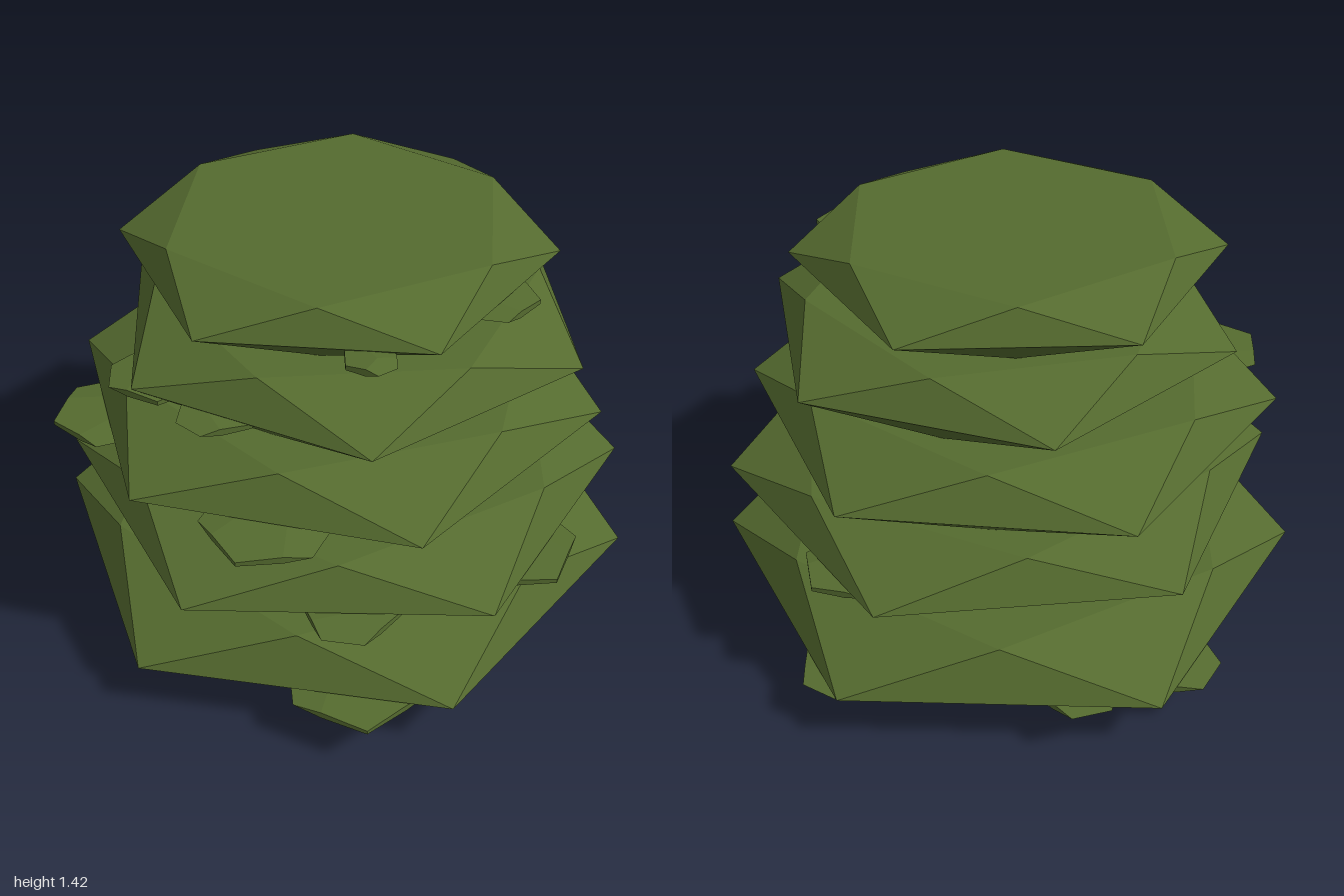
import * as THREE from 'three';

const SIDES = 6;

// y0, y1, y2: bottom, rim and top heights; rb, rm, rt: their radii; turn in degrees; x, z: offset
// tufts: [x, z, radius]
const TIERS = [
  { y: [0, 0.21, 0.37], r: [0.63, 0.995, 0.79], turn: 0, x: -0.02, z: 0,
    tufts: [[-0.77, -0.27, 0.19], [0.53, 0.57, 0.23], [0.07, -0.82, 0.17], [-0.58, -0.5, 0.18]] },
  { y: [0.37, 0.53, 0.66], r: [0.62, 0.93, 0.74], turn: 8, x: 0.015, z: 0.015,
    tufts: [[0.75, 0.05, 0.2], [0.5, 0.57, 0.18], [0.1, -0.74, 0.16]] },
  { y: [0.66, 0.81, 0.94], r: [0.59, 0.88, 0.69], turn: -4, x: -0.02, z: 0.02,
    tufts: [[-0.48, 0.63, 0.18], [0.28, 0.7, 0.2]] },
  { y: [0.94, 1.08, 1.2], r: [0.53, 0.78, 0.61], turn: -16, x: 0.02, z: 0,
    tufts: [[-0.21, 0.62, 0.16], [0.05, 0.63, 0.14]] },
  { y: [1.2, 1.32, 1.42], r: [0.46, 0.69, 0.55], turn: 4, x: -0.02, z: 0.01,
    tufts: [[0.53, -0.06, 0.14], [0.44, 0.42, 0.09]] },
];

// Ring of corners, counter-clockwise seen from above
function ring(t, level) {
  const shift = level === 1 ? 0 : 0.5;
  return Array.from({ length: SIDES }, (_, i) => {
    const a = THREE.MathUtils.degToRad(t.turn) + ((i + shift) / SIDES) * Math.PI * 2;
    return new THREE.Vector3(t.x + t.r[level] * Math.sin(a), t.y[level], t.z + t.r[level] * Math.cos(a));
  });
}

// Faceted slab: flat top and bottom, joined to a wider rim by zigzag triangles
function tierGeometry(t) {
  const [bot, rim, top] = [0, 1, 2].map((level) => ring(t, level));
  const pts = [];
  for (let i = 0; i < SIDES; i++) {
    const j = (i + 1) % SIDES;
    pts.push(rim[i], rim[j], top[i], rim[j], top[j], top[i]);
    pts.push(bot[i], rim[j], rim[i], bot[i], bot[j], rim[j]);
    if (i > 0 && i < SIDES - 1) {
      pts.push(top[1], top[(i + 1) % SIDES], top[(i + 2) % SIDES]);
      pts.push(bot[0], bot[j], bot[i]);
    }
  }
  const geo = new THREE.BufferGeometry().setFromPoints(pts);
  geo.computeVertexNormals();
  return geo;
}

export function createModel() {
  const bush = new THREE.Group();
  bush.name = 'tieredBush';
  const leaf = new THREE.MeshStandardMaterial({ color: 0x556b2f, flatShading: true });
  const tuftGeometry = new THREE.DodecahedronGeometry(1, 0);

  TIERS.forEach((t, n) => {
    const tier = new THREE.Mesh(tierGeometry(t), leaf);
    tier.name = `foliageTier${n + 1}`;
    bush.add(tier);

    // Thin leaf tufts tucked under the rim
    t.tufts.forEach(([x, z, r], k) => {
      const tuft = new THREE.Mesh(tuftGeometry, leaf);
      tuft.name = `leafTuft${n + 1}_${k + 1}`;
      tuft.position.set(x, t.y[1] - 0.023, z);
      tuft.scale.set(r, 0.02, r);
      tuft.rotation.y = n * 1.3 + k * 0.8;
      bush.add(tuft);
    });
  });
  return bush;
}
